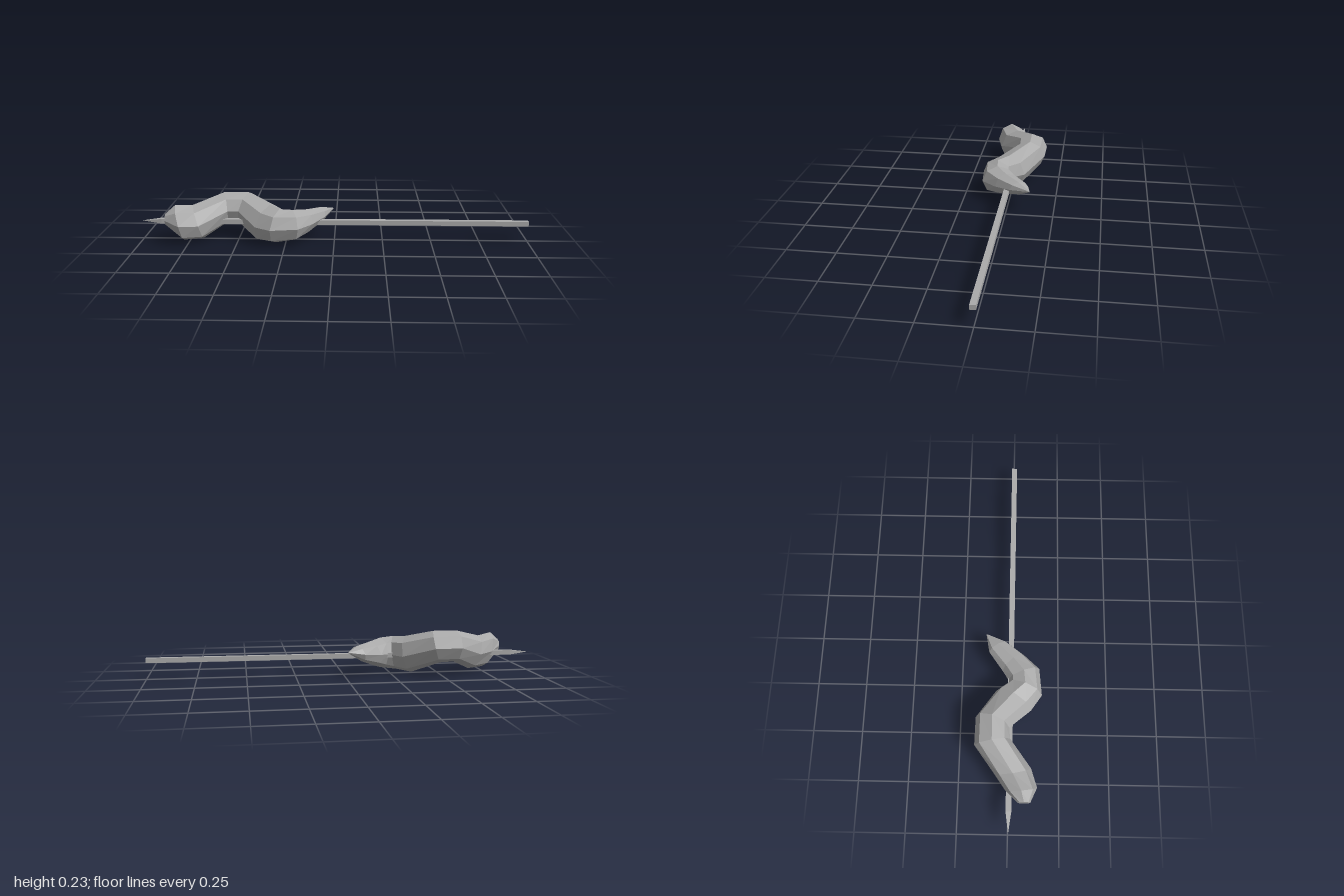
import * as THREE from 'three';

// Skin between rings that run towards +x, closing both ends with a fan.
function loft(rings) {
  const pos = [];
  const tri = (a, b, c) => { for (const p of [a, b, c]) pos.push(p.x, p.y, p.z); };
  const n = rings[0].length;
  const middle = (r) => r.reduce((s, p) => s.add(p), new THREE.Vector3()).divideScalar(n);
  const first = rings[0], last = rings[rings.length - 1];
  const start = middle(first), end = middle(last);
  for (let j = 0; j < n; j++) {
    const k = (j + 1) % n;
    for (let i = 0; i < rings.length - 1; i++) {
      const r = rings[i], s = rings[i + 1];
      tri(r[j], s[j], s[k]);
      tri(r[j], s[k], r[k]);
    }
    tri(start, first[j], first[k]);
    tri(end, last[k], last[j]);
  }
  const g = new THREE.BufferGeometry();
  g.setAttribute('position', new THREE.Float32BufferAttribute(pos, 3));
  g.computeVertexNormals();
  return g;
}

// Octagon spanning a back and a front point (x, z), from bottom to top, leaning along x.
function bodyRing([bx, bz, fx, fz, bottom, top, lean]) {
  const centre = new THREE.Vector3((bx + fx) / 2, (bottom + top) / 2, (bz + fz) / 2);
  const side = new THREE.Vector3((fx - bx) / 2, 0, (fz - bz) / 2);
  const up = new THREE.Vector3(lean, (top - bottom) / 2, 0);
  return Array.from({ length: 8 }, (_, j) => {
    const a = (j / 8) * Math.PI * 2;
    return centre.clone().addScaledVector(side, Math.cos(a)).addScaledVector(up, Math.sin(a));
  });
}

// Rectangle across the skewer
function skewerRing(x, scale) {
  return [[1, -1], [1, 1], [-1, 1], [-1, -1]].map(([z, y]) =>
    new THREE.Vector3(x, 0.099 + y * 0.012 * scale, 0.003 + z * 0.014 * scale));
}

export function createModel() {
  const group = new THREE.Group();
  const grey = new THREE.MeshStandardMaterial({ color: 0xaaaaaa });
  grey.name = 'grey';
  grey.flatShading = true;
  const add = (name, geometry) => {
    const mesh = new THREE.Mesh(geometry, grey);
    mesh.name = name;
    group.add(mesh);
  };

  // Winding body: backX, backZ, frontX, frontZ, bottom, top, lean
  add('windingBody', loft([
    [-0.86, 0.045, -0.86, 0.107, 0.10, 0.16, 0],
    [-0.80, -0.015, -0.785, 0.14, 0.015, 0.20, -0.02],
    [-0.72, -0.07, -0.69, 0.11, 0.013, 0.19, -0.025],
    [-0.59, -0.17, -0.555, 0.005, 0.07, 0.233, -0.005],
    [-0.45, -0.167, -0.50, 0.0, 0.067, 0.233, 0.02],
    [-0.30, -0.07, -0.40, 0.107, 0.002, 0.195, 0.018],
    [-0.255, -0.01, -0.32, 0.162, 0.01, 0.188, 0.01],
    [-0.24, -0.01, -0.18, 0.148, 0.022, 0.182, 0],
    [-0.195, -0.04, -0.11, 0.07, 0.043, 0.17, 0.01],
    [-0.10, -0.11, -0.05, -0.015, 0.08, 0.16, 0.01],
    [-0.012, -0.126, -0.008, -0.122, 0.132, 0.138, 0],
  ].map(bodyRing)));

  // Skewer with a sharpened end
  add('skewer', loft([skewerRing(-1, 0.03), skewerRing(-0.9, 1), skewerRing(1, 1)]));

  return group;
}
